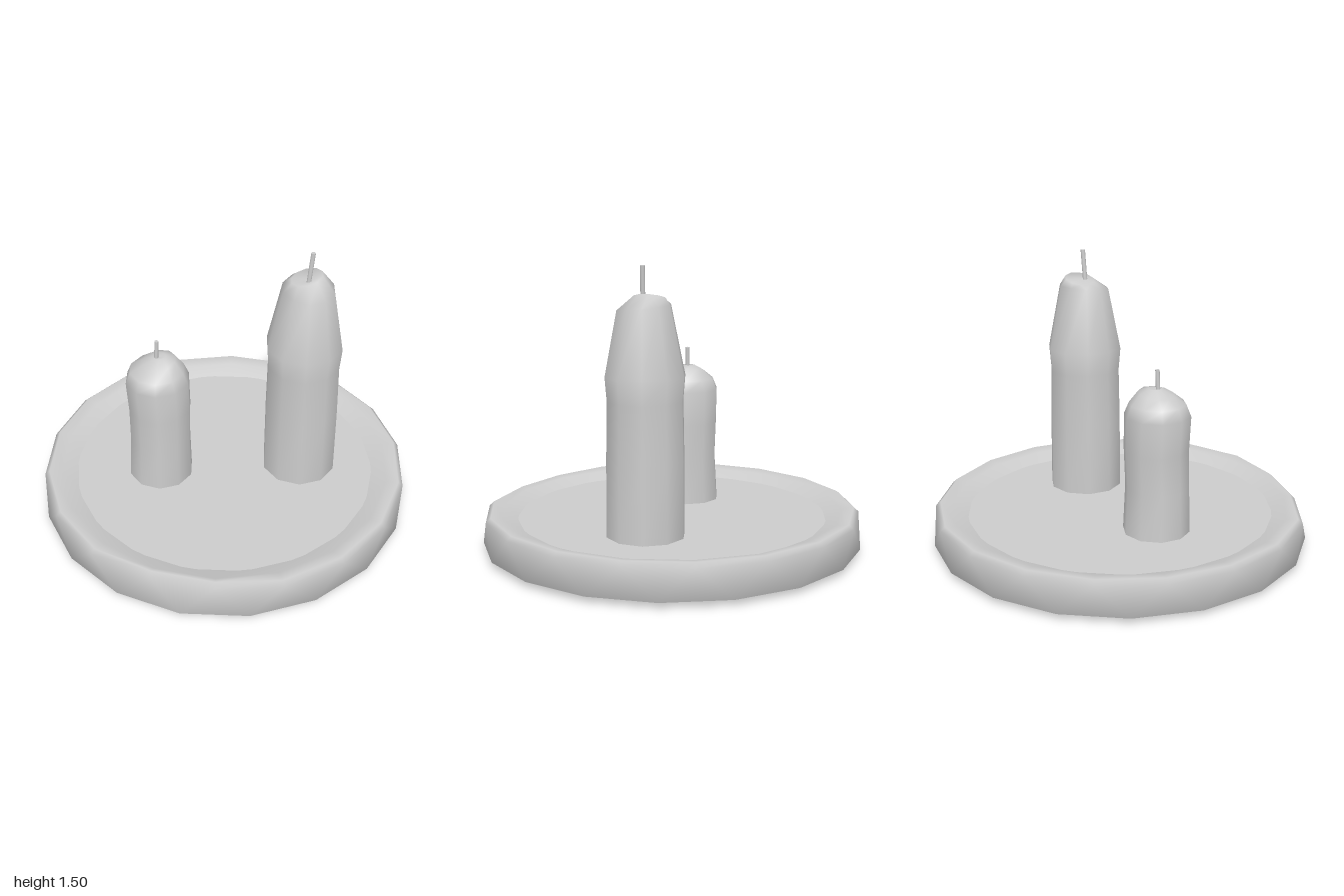
import * as THREE from 'three';

const material = new THREE.MeshStandardMaterial({ color: 0xcccccc });

// Skin a stack of rings, listed bottom to top on the outside.
// Ring: r, y, optional centre x / z, twist in steps, tilt in x / z, and a radius rule by angle.
function loft(name, sides, rings) {
  const pos = [], index = [];
  for (const { r, y, x = 0, z = 0, twist = 0, tx = 0, tz = 0, rule = () => 1 } of rings) {
    for (let i = 0; i < sides; i++) {
      const a = ((i + twist) / sides) * Math.PI * 2;
      const px = r * rule(a) * Math.cos(a), pz = r * rule(a) * Math.sin(a);
      pos.push(x + px, y + tx * px + tz * pz, z + pz);
    }
  }
  for (let k = 0; k < rings.length - 1; k++) {
    for (let i = 0; i < sides; i++) {
      const j = (i + 1) % sides;
      const a = k * sides + i, b = k * sides + j;
      const c = a + sides, d = b + sides;
      if (rings[k].r > 0) index.push(a, c, b);
      if (rings[k + 1].r > 0) index.push(b, c, d);
    }
  }
  const g = new THREE.BufferGeometry();
  g.setAttribute('position', new THREE.Float32BufferAttribute(pos, 3));
  g.setIndex(index);
  g.computeVertexNormals();
  const mesh = new THREE.Mesh(g, material);
  mesh.name = name;
  return mesh;
}

// Thin slightly leaning wick between two points
function wick(name, from, to, radius) {
  const a = new THREE.Vector3(...from), b = new THREE.Vector3(...to);
  const mesh = new THREE.Mesh(new THREE.CylinderGeometry(radius, radius, a.distanceTo(b), 8), material);
  mesh.position.copy(a).lerp(b, 0.5);
  mesh.quaternion.setFromUnitVectors(new THREE.Vector3(0, 1, 0), b.sub(a).normalize());
  mesh.name = name;
  return mesh;
}

export function createModel() {
  const model = new THREE.Group();
  model.name = 'candleDish';

  // Dish: faceted underside, leaning wall, rounded rim with a shallow dent at front left
  const dent = (a) => 1 - 0.05 * Math.exp(-(((a - 2.1) / 0.28) ** 2));
  model.add(loft('dishRim', 18, [
    { r: 0, y: 0 },
    { r: 0.88, y: 0.012 },
    { r: 0.94, y: 0.015, twist: 0.5 },
    { r: 1.0, y: 0.03 },
    { r: 0.99, y: 0.185, twist: 0.5, rule: dent },
    { r: 0.965, y: 0.207, twist: 0.5, rule: dent },
    { r: 0.9, y: 0.195, twist: 0.5 },
    { r: 0.79, y: 0.148, twist: 1 },
    { r: 0.74, y: 0.12, twist: 1 },
  ]));

  // Flat floor that meets the sloping inside of the rim
  const floor = new THREE.Mesh(new THREE.CircleGeometry(0.88, 18), material);
  floor.rotation.x = -Math.PI / 2;
  floor.position.y = 0.16;
  floor.name = 'dishFloor';
  model.add(floor);

  // Tall candle with a tapered shoulder and slanted top
  model.add(loft('tallCandle', 10, [
    { r: 0.2, y: 0.14, x: 0.4, z: 0.105 },
    { r: 0.198, y: 0.55, x: 0.4, z: 0.105 },
    { r: 0.192, y: 0.84, x: 0.4, z: 0.105 },
    { r: 0.202, y: 0.96, x: 0.4, z: 0.105 },
    { r: 0.135, y: 1.295, x: 0.405, z: 0.11, tz: -0.1 },
    { r: 0.08, y: 1.342, x: 0.405, z: 0.08, tx: 0.27, tz: 0.06 },
    { r: 0, y: 1.335, x: 0.405, z: 0.1 },
  ]));
  model.add(wick('tallCandleWick', [0.4, 1.32, 0.115], [0.418, 1.495, 0.115], 0.012));

  // Short candle with a gentle waist and domed top
  model.add(loft('shortCandle', 10, [
    { r: 0.175, y: 0.14, x: -0.345, z: -0.065 },
    { r: 0.165, y: 0.4, x: -0.342, z: -0.06 },
    { r: 0.167, y: 0.6, x: -0.338, z: -0.065 },
    { r: 0.17, y: 0.78, x: -0.345, z: -0.065 },
    { r: 0.145, y: 0.84, x: -0.345, z: -0.065 },
    { r: 0.09, y: 0.89, x: -0.335, z: -0.065, tx: 0.15 },
    { r: 0.035, y: 0.915, x: -0.33, z: -0.07 },
    { r: 0, y: 0.91, x: -0.335, z: -0.068 },
  ]));
  model.add(wick('shortCandleWick', [-0.348, 0.89, -0.065], [-0.341, 1.012, -0.065], 0.011));

  return model;
}
